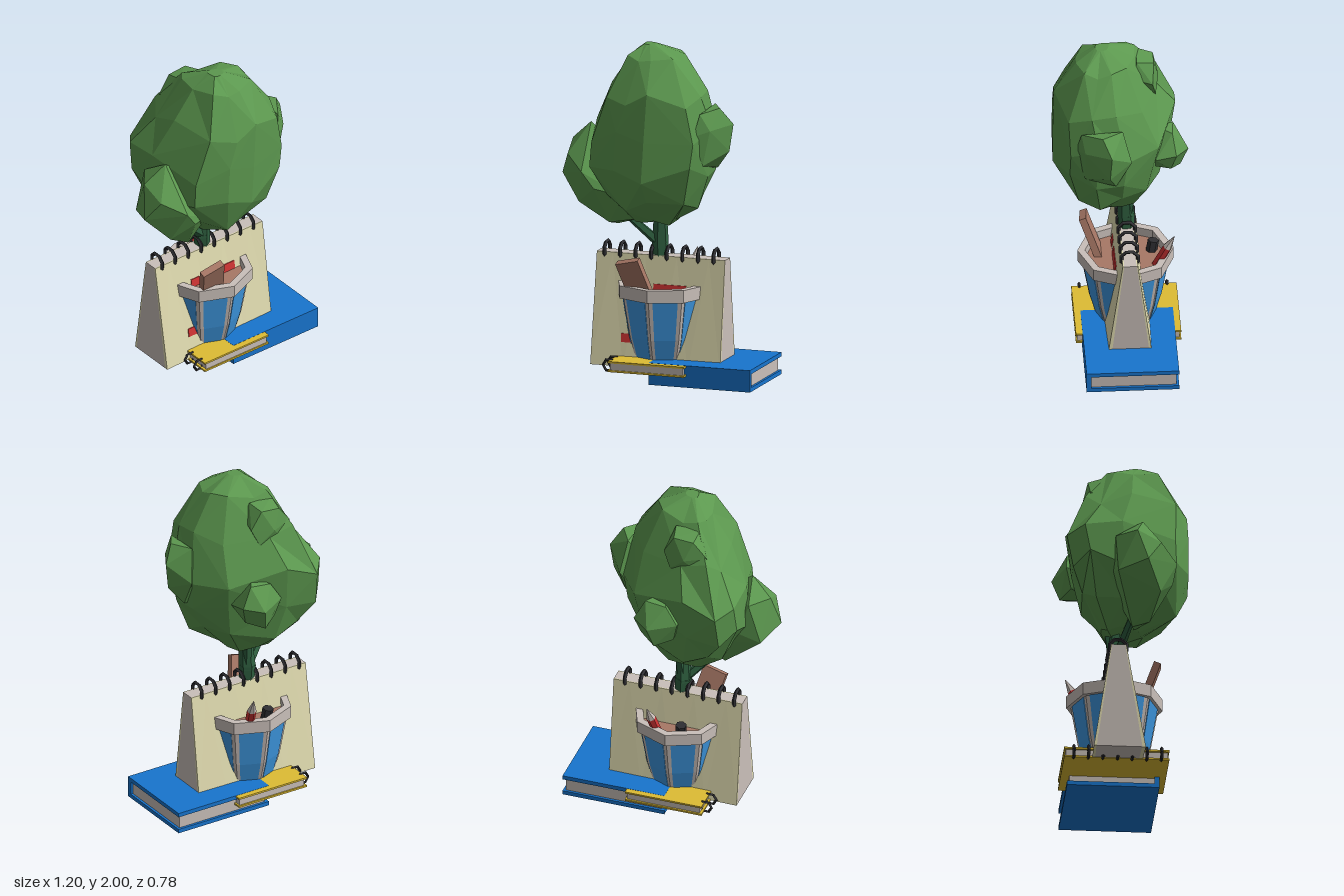
import * as THREE from 'three';
import { ConvexGeometry } from 'three/addons/geometries/ConvexGeometry.js';

const mat = (name, color) => {
  const m = new THREE.MeshStandardMaterial({ color, flatShading: true });
  m.name = name;
  return m;
};
const V = (x, y, z) => new THREE.Vector3(x, y, z);

// Closed solid through cross-sections with equal point counts, faces turned outward
function loft(rings) {
  const tris = [];
  const n = rings[0].length;
  for (let r = 0; r + 1 < rings.length; r++) {
    for (let i = 0; i < n; i++) {
      const j = (i + 1) % n;
      const a = rings[r][i], b = rings[r][j], c = rings[r + 1][j], d = rings[r + 1][i];
      if ((r + i) % 2) tris.push([a, b, c], [a, c, d]);
      else tris.push([a, b, d], [b, c, d]);
    }
  }
  const last = rings[rings.length - 1];
  for (let i = 1; i + 1 < n; i++) {
    tris.push([rings[0][0], rings[0][i + 1], rings[0][i]], [last[0], last[i], last[i + 1]]);
  }
  const volume = tris.reduce((s, [a, b, c]) => s + a.dot(b.clone().cross(c)), 0);
  const points = tris.flatMap(([a, b, c]) => (volume < 0 ? [a, c, b] : [a, b, c]));
  const geo = new THREE.BufferGeometry().setFromPoints(points);
  geo.computeVertexNormals();
  return geo;
}

export function createModel() {
  const model = new THREE.Group();
  model.name = 'deskPlant';
  const leaf = mat('leaf green', 0x5c984f);
  const bark = mat('stem green', 0x2f6040);
  const blue = mat('book blue', 0x1875ce);
  const glaze = mat('pot blue', 0x3f9ae4);
  const pale = mat('pale grey', 0xcac0ba);
  const cream = mat('cream', 0xe3deb2);
  const red = mat('red', 0xd23434);
  const brown = mat('brown', 0xa87866);
  const black = mat('black', 0x2e2e32);
  const yellow = mat('yellow', 0xdebc34);

  const add = (name, geo, material, parent = model) => {
    const mesh = new THREE.Mesh(geo, material);
    mesh.name = name;
    parent.add(mesh);
    return mesh;
  };
  const group = (name) => {
    const g = new THREE.Group();
    g.name = name;
    model.add(g);
    return g;
  };
  // Box given by its limits on each axis
  const block = (name, m, x0, x1, y0, y1, z0, z1, parent) => {
    const mesh = add(name, new THREE.BoxGeometry(x1 - x0, y1 - y0, z1 - z0), m, parent);
    mesh.position.set((x0 + x1) / 2, (y0 + y1) / 2, (z0 + z1) / 2);
  };
  // Tapered rod between two points
  const rod = (name, m, a, b, ra, rb, sides, parent) => {
    const mesh = add(name, new THREE.CylinderGeometry(rb, ra, a.distanceTo(b), sides), m, parent);
    mesh.position.copy(a).add(b).multiplyScalar(0.5);
    mesh.quaternion.setFromUnitVectors(V(0, 1, 0), b.clone().sub(a).normalize());
  };

  // Hardback book with its spine to the front
  const book = group('blueBook');
  block('bookPages', pale, -0.01, 0.58, 0.024, 0.106, -0.295, 0.21, book);
  block('bookSpine', blue, -0.03, 0.595, 0, 0.13, 0.2, 0.228, book);
  for (const y of [0, 0.105]) block('bookCover', blue, -0.03, 0.595, y, y + 0.025, -0.31, 0.21, book);

  // Ring-bound notebook
  const notebook = group('notebook');
  block('notebookPages', pale, -0.255, 0.19, 0.075, 0.12, -0.335, 0.26, notebook);
  for (const y of [0.066, 0.118]) block('notebookCover', yellow, -0.27, 0.2, y, y + 0.011, -0.345, 0.267, notebook);
  for (let i = 0; i < 7; i++) {
    const ring = add('notebookRing', new THREE.TorusGeometry(0.036, 0.009, 4, 6), black, notebook);
    ring.position.set(-0.277, 0.097, -0.29 + i * 0.085);
  }

  // Standing desk calendar: grey wedge between two cream stacks of pages
  const calendar = group('deskCalendar');
  const stations = [...Array(9).keys()].map((k) => ({
    x: -0.43 + 0.79 * k / 8, front: 0.118 - 0.025 * k / 8, back: -0.185 + 0.015 * k / 8 }));
  add('calendarStand', loft(stations.map(({ x, front, back }) => [
    V(x, 0.07, front - 0.02), V(x, 0.72, -0.002), V(x, 0.72, -0.078), V(x, 0.07, back + 0.015)])), pale, calendar);
  for (const [side, top, dir, thick] of [['front', 0, 1, 0.022], ['back', -0.08, -1, 0.017]]) {
    add(side + 'Page', loft(stations.map((s) => [
      V(s.x, 0.07, s[side] - dir * thick), V(s.x, 0.72, top - dir * 0.004),
      V(s.x, 0.72, top + dir * 0.004), V(s.x, 0.07, s[side])])), cream, calendar);
  }
  for (let i = 0; i < 8; i++) {
    const ring = add('calendarRing', new THREE.TorusGeometry(0.052, 0.012, 4, 8), black, calendar);
    ring.rotation.set(0, Math.PI / 2, Math.PI / 8);
    ring.position.set(-0.382 + i * 0.096, 0.725, -0.04);
  }
  // Red marks lying on the sloping front page
  const pageZ = (x, y) => {
    const foot = 0.118 - 0.025 * (x + 0.43) / 0.79;
    return 0.004 + (foot - 0.004) * (0.72 - y) / 0.65;
  };
  for (const [x0, x1, y0, y1] of [[-0.25, -0.16, 0.21, 0.26], [-0.19, -0.13, 0.507, 0.556], [-0.07, 0.13, 0.507, 0.556]]) {
    add('calendarMark', loft([x0, x1].map((x) => [
      V(x, y0, pageZ(x, y0) - 0.002), V(x, y1, pageZ(x, y1) - 0.002),
      V(x, y1, pageZ(x, y1) + 0.005), V(x, y0, pageZ(x, y0) + 0.005)])), red, calendar);
  }

  // Eight-sided pot
  const pot = group('plantPot');
  pot.position.set(-0.035, 0, -0.035);
  const profile = [[0.13, 0.18], [0.25, 0.213], [0.5, 0.257]]; // height, radius
  const corner = ([y, r], i) => V(Math.sin(i * Math.PI / 4) * r, y, Math.cos(i * Math.PI / 4) * r);
  add('potBody', loft(profile.map((p) => [...Array(8).keys()].map((i) => corner(p, i)))), pale, pot);
  add('potRim', new THREE.LatheGeometry(
    [[0.236, 0.485], [0.28, 0.485], [0.28, 0.56], [0.236, 0.56], [0.236, 0.485]].map((p) => new THREE.Vector2(...p)), 8), pale, pot);
  add('soil', new THREE.CylinderGeometry(0.245, 0.245, 0.02, 8), brown, pot).position.y = 0.495;
  for (let i = 0; i < 8; i++) {
    add('potPanel', loft(profile.map((p) => {
      const at = (u, s) => corner(p, i).lerp(corner(p, i + 1), u).multiply(V(s, 1, s));
      return [at(0.13, 0.985), at(0.87, 0.985), at(0.87, 1.02), at(0.13, 1.02)];
    })), glaze, pot);
  }

  // Things stuck in the pot
  const strip = add('woodenStrip', new THREE.BoxGeometry(0.145, 0.34, 0.042), brown);
  strip.position.set(-0.128, 0.565, 0.148);
  strip.rotation.set(0.36, 0, 0.24);
  rod('pencilBody', red, V(0.03, 0.4, -0.165), V(0.065, 0.635, -0.272), 0.028, 0.028, 6);
  rod('pencilTip', pale, V(0.065, 0.635, -0.272), V(0.077, 0.718, -0.312), 0.028, 0.002, 6);
  rod('penCap', black, V(-0.085, 0.45, -0.18), V(-0.095, 0.572, -0.2), 0.033, 0.033, 6);

  // Stem and branches
  const tree = group('tree');
  rod('trunkBase', bark, V(-0.04, 0.5, -0.04), V(-0.055, 0.8, -0.04), 0.035, 0.05, 6, tree);
  rod('trunk', bark, V(-0.055, 0.78, -0.04), V(-0.045, 1.1, -0.02), 0.05, 0.03, 6, tree);
  rod('leftBranch', bark, V(-0.06, 0.79, -0.035), V(-0.27, 1.0, 0.06), 0.03, 0.02, 5, tree);
  rod('backBranch', bark, V(-0.05, 0.8, -0.04), V(-0.03, 1.05, -0.09), 0.035, 0.02, 5, tree);

  // Main crown: one faceted outline fitted to limits at each height
  const outline = [[0.29, -0.03], [0.3, 0.14], [0.24, 0.3], [-0.03, 0.39], [-0.2, 0.385], [-0.38, 0.295],
    [-0.455, -0.02], [-0.45, -0.24], [-0.37, -0.34], [-0.17, -0.335], [0.16, -0.22]];
  const levels = [ // y, x limits, z limits, unevenness
    [0.94, -0.18, 0.07, -0.12, 0.13, 0.015], [1.08, -0.34, 0.24, -0.24, 0.32, 0.04],
    [1.27, -0.45, 0.31, -0.3, 0.39, 0.05], [1.48, -0.44, 0.33, -0.335, 0.39, 0.05],
    [1.71, -0.325, 0.275, -0.22, 0.385, 0.045], [1.93, -0.2, 0.14, -0.09, 0.255, 0.015],
    [2.0, -0.1, -0.02, 0.06, 0.14, 0]];
  add('crown', loft(levels.map(([y, x0, x1, z0, z1, rough], k) => outline.map(([x, z], i) => V(
    x0 + (x1 - x0) * (x + 0.46) / 0.76,
    y + rough * Math.sin(i * 2.4 + k * 1.7),
    z0 + (z1 - z0) * (z + 0.34) / 0.73)))), leaf, tree);

  // Smaller coarse leaf clumps, each the hull of a few corner points
  const clumps = {
    leftClump: [[-0.6, 1.2, 0.12], [-0.555, 1.4, 0.06], [-0.54, 1.33, 0.2], [-0.43, 1.51, 0.1], [-0.53, 1.15, -0.05],
      [-0.46, 1.4, -0.06], [-0.4, 1.2, -0.07], [-0.42, 1.25, 0.3], [-0.35, 1.15, 0.28], [-0.47, 1.05, 0.2],
      [-0.28, 0.905, 0.05], [-0.3, 0.93, 0.15], [-0.15, 0.945, 0.07], [-0.2, 1.1, 0.2], [-0.25, 1.1, -0.04], [-0.3, 1.4, 0.1]],
    rightClump: [[0.437, 1.55, 0.07], [0.37, 1.65, 0.12], [0.29, 1.63, 0.24], [0.3, 1.65, 0], [0.335, 1.45, -0.05],
      [0.415, 1.39, 0.08], [0.345, 1.53, 0.22], [0.26, 1.5, 0.27], [0.33, 1.28, 0.04], [0.3, 1.32, 0.22],
      [0.27, 1.27, 0.05], [0.2, 1.45, 0.1]],
    backClump: [[0.05, 1.33, -0.395], [-0.11, 1.35, -0.32], [0.155, 1.35, -0.32], [-0.04, 1.46, -0.31], [0.09, 1.47, -0.3],
      [0.02, 1.2, -0.35], [0.12, 1.24, -0.29], [-0.08, 1.23, -0.29], [0.16, 1.33, -0.2], [-0.1, 1.33, -0.15],
      [0.02, 1.48, -0.2], [0.02, 1.2, -0.15]],
    upperClump: [[-0.25, 1.77, -0.19], [0.015, 1.77, -0.19], [-0.17, 1.87, -0.2], [-0.05, 1.88, -0.2], [-0.18, 1.9, -0.1],
      [-0.03, 1.9, -0.1], [-0.19, 1.68, -0.2], [-0.03, 1.67, -0.21], [-0.12, 1.75, -0.23], [-0.19, 1.8, -0.06], [0, 1.8, -0.08]],
  };
  for (const [name, points] of Object.entries(clumps)) {
    add(name, new ConvexGeometry(points.map((p) => V(...p))), leaf, tree);
  }

  return model;
}
